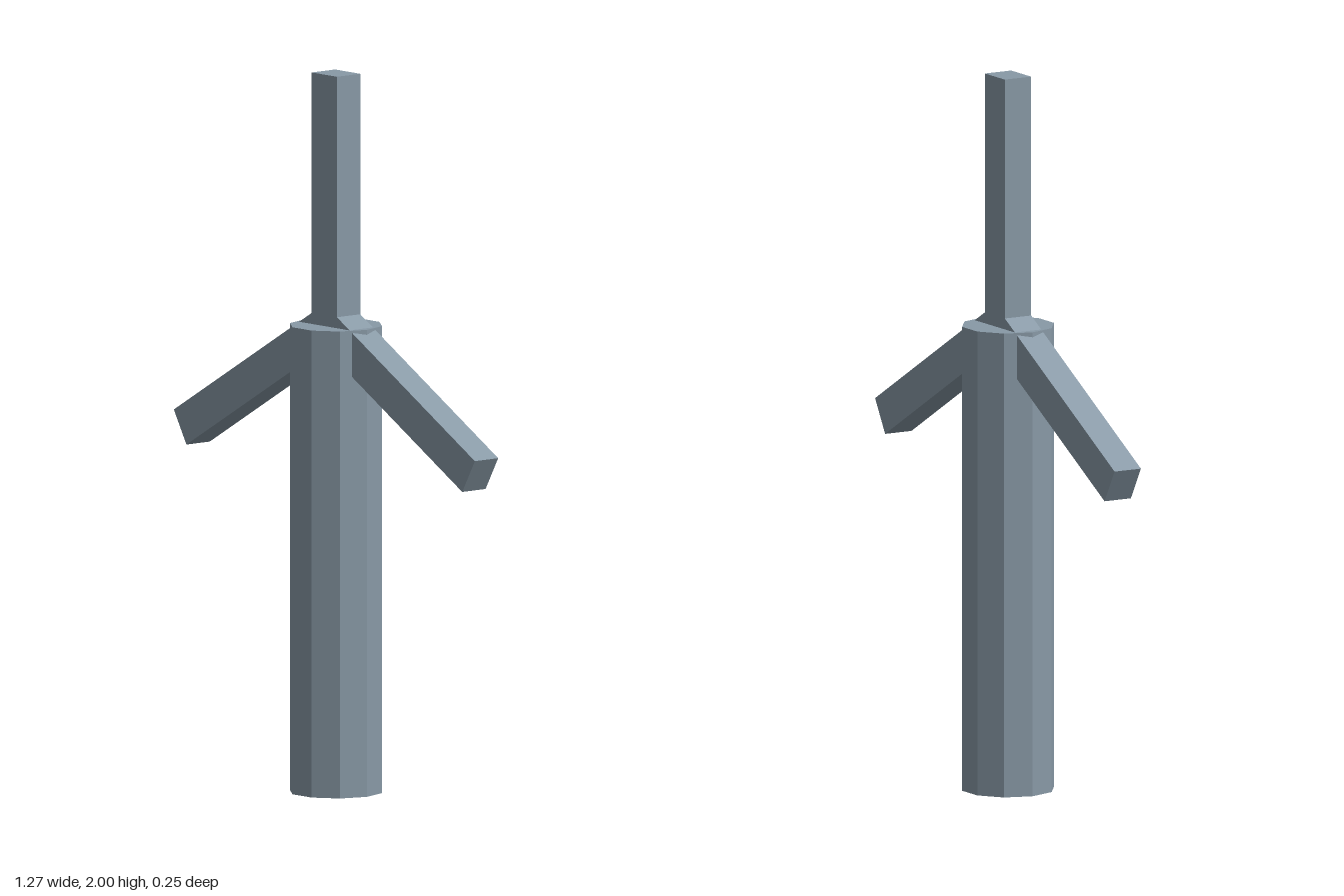
import * as THREE from 'three';

export function createModel() {
  const model = new THREE.Group();
  const paint = new THREE.MeshStandardMaterial({ color: 0x8899a6, flatShading: true });
  paint.name = 'blue grey';

  // Ten-sided tower with corners on the x axis
  const hubHeight = 1.3;
  const tower = new THREE.Mesh(
    new THREE.CylinderGeometry(0.13, 0.13, hubHeight, 10).rotateY(Math.PI / 10), paint);
  tower.name = 'tower';
  tower.position.y = hubHeight / 2;
  model.add(tower);

  // Three blades radiating from the top centre of the tower
  const rotor = new THREE.Group();
  rotor.name = 'rotor';
  rotor.position.y = hubHeight;
  const length = 0.7;
  const bladeShape = new THREE.BoxGeometry(0.106, length, 0.085).translate(0, length / 2, 0);
  ['topBlade', 'rightBlade', 'leftBlade'].forEach((name, i) => {
    const blade = new THREE.Mesh(bladeShape, paint);
    blade.name = name;
    blade.rotation.z = i * Math.PI * 2 / 3;
    rotor.add(blade);
  });
  model.add(rotor);

  return model;
}
